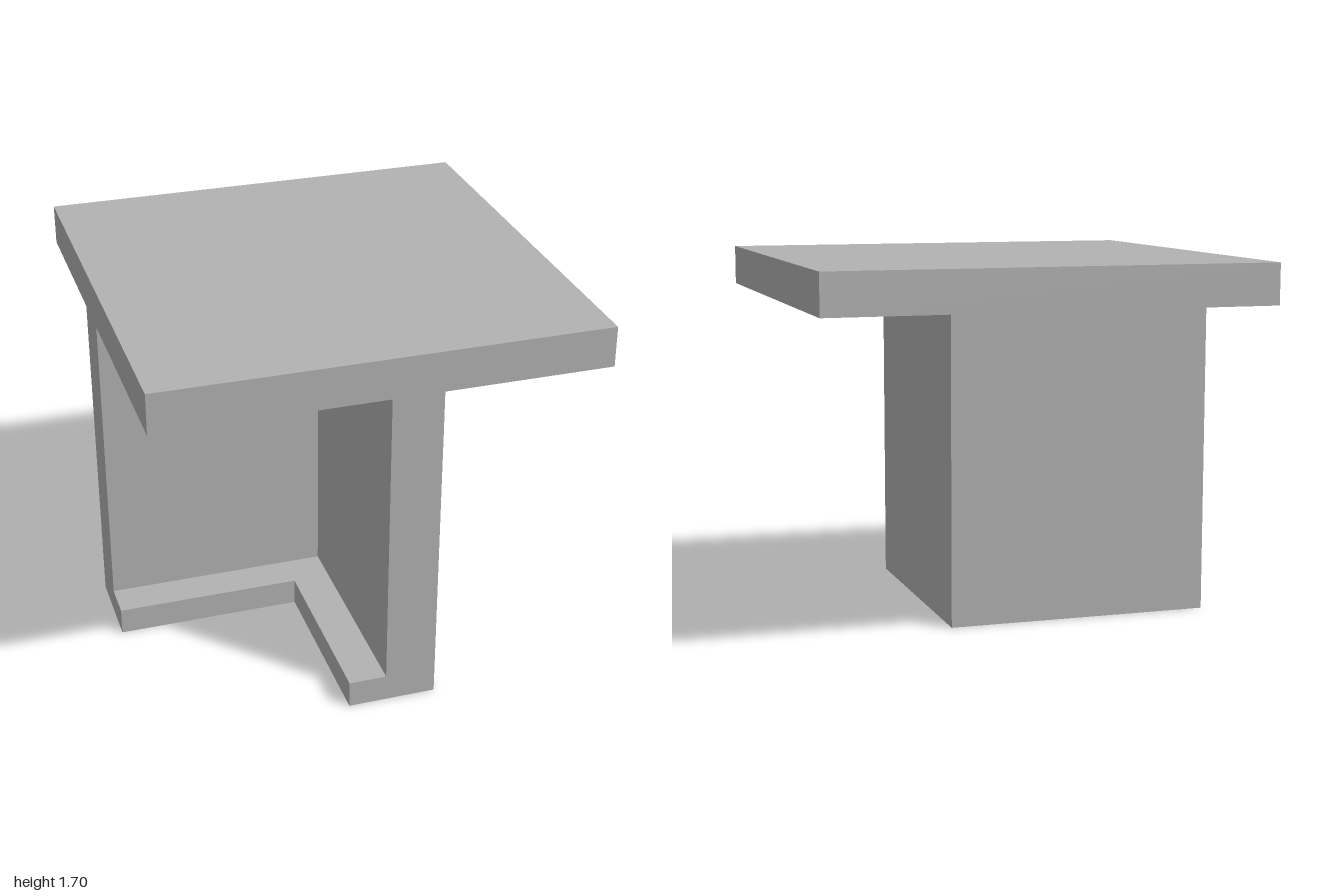
import * as THREE from 'three';

const OUTER = 0.243; // outer faces of the two walls: x = OUTER and z = -OUTER

export function createModel() {
  const model = new THREE.Group();
  const concrete = new THREE.MeshStandardMaterial({ color: 0xb2b2b2 });
  concrete.name = 'concrete grey';

  // L-shaped plan with arms running to x = -1 and z = 1, raised from y0 to y1
  function cornerBlock(name, inner, y0, y1) {
    const plan = new THREE.Shape([
      [-1, -OUTER], [OUTER, -OUTER], [OUTER, 1],
      [inner, 1], [inner, -inner], [-1, -inner],
    ].map(([x, z]) => new THREE.Vector2(x, z)));
    const geometry = new THREE.ExtrudeGeometry(plan, { depth: y1 - y0, bevelEnabled: false });
    geometry.rotateX(Math.PI / 2).translate(0, y1, 0);
    const mesh = new THREE.Mesh(geometry, concrete);
    mesh.name = name;
    model.add(mesh);
  }

  // Wide footing with its ledge on the inner side, then the thinner walls
  cornerBlock('footing', -0.155, 0, 0.123);
  cornerBlock('cornerWalls', 0.015, 0.123, 1.513);

  // Square slab on top
  const slab = new THREE.Mesh(new THREE.BoxGeometry(2, 0.184, 2), concrete);
  slab.position.y = 1.513 + 0.092;
  slab.name = 'topSlab';
  model.add(slab);

  return model;
}
